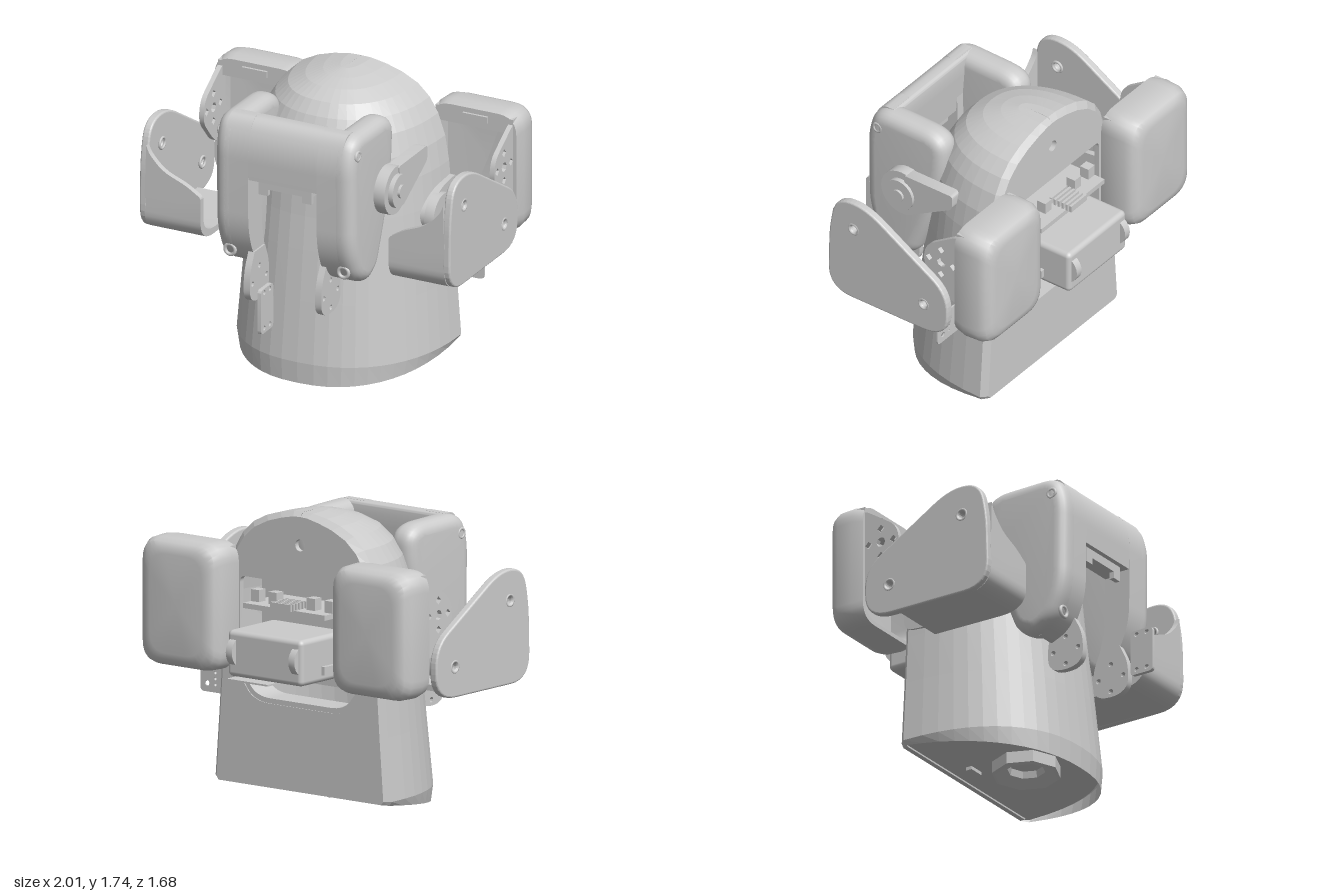
import * as THREE from 'three';
import { toCreasedNormals } from 'three/addons/utils/BufferGeometryUtils.js';
import { RoundedBoxGeometry } from 'three/addons/geometries/RoundedBoxGeometry.js';

const smooth = new THREE.MeshStandardMaterial({ color: 0xcccccc, side: THREE.DoubleSide });
const flat = new THREE.MeshStandardMaterial({ color: 0xcccccc, side: THREE.DoubleSide, flatShading: true });

// Closed outline through [u, v, cornerRadius] points, each corner rounded
function outline(pts, Type = THREE.Shape) {
  const s = new Type(), n = pts.length, V = pts.map(p => new THREE.Vector2(p[0], p[1]));
  V.forEach((p, i) => {
    const a = V[(i + n - 1) % n], b = V[(i + 1) % n], r = pts[i][2] || 0;
    const near = q => q.clone().sub(p).setLength(Math.min(r, q.distanceTo(p) * 0.49)).add(p);
    const from = near(a), to = near(b);
    if (i) s.lineTo(from.x, from.y); else s.moveTo(from.x, from.y);
    if (r) s.quadraticCurveTo(p.x, p.y, to.x, to.y);
  });
  s.closePath();
  return s;
}

const rect = (u0, v0, u1, v1, r) => outline([[u0, v0, r], [u1, v0, r], [u1, v1, r], [u0, v1, r]]);

function circleHole(u, v, r, sides = 16) {
  const p = new THREE.Path();
  for (let i = 0; i <= sides; i++) {
    const t = i / sides * Math.PI * 2;
    p[i ? 'lineTo' : 'moveTo'](u + r * Math.cos(t), v + r * Math.sin(t));
  }
  return p;
}

function extrude(shape, depth, bevel = 0) {
  const g = new THREE.ExtrudeGeometry(shape, {
    depth: depth - 2 * bevel, bevelEnabled: bevel > 0, bevelSize: bevel, bevelThickness: bevel,
    bevelOffset: -bevel, bevelSegments: 5, curveSegments: 8,
  });
  return toCreasedNormals(g.translate(0, 0, bevel), 0.6);
}

// Slab with its outline in (z, y), running from x0 to x1
const sideSlab = (shape, x0, x1, bevel) =>
  extrude(shape, Math.abs(x1 - x0), bevel).rotateY(-Math.PI / 2).translate(Math.max(x0, x1), 0, 0);
// Slab with its outline in (x, y), running from z0 to z1
const frontSlab = (shape, z0, z1, bevel) => extrude(shape, z1 - z0, bevel).translate(0, 0, z0);

// Surface through rows of points
function loft(rows, closed = false) {
  const n = rows[0].length, idx = [];
  for (let j = 0; j < rows.length - 1; j++)
    for (let i = 0; i < (closed ? n : n - 1); i++) {
      const a = j * n + i, b = j * n + (i + 1) % n;
      idx.push(a, b, b + n, a, b + n, a + n);
    }
  const g = new THREE.BufferGeometry().setFromPoints(rows.flat());
  g.setIndex(idx);
  g.computeVertexNormals();
  return g;
}

export function createModel() {
  const root = new THREE.Group();
  const add = (name, geo, mat = smooth) => {
    const m = new THREE.Mesh(geo, mat);
    m.name = name;
    root.add(m);
  };
  const box = (name, x0, x1, y0, y1, z0, z1) => add(name,
    new THREE.BoxGeometry(x1 - x0, y1 - y0, z1 - z0).translate((x0 + x1) / 2, (y0 + y1) / 2, (z0 + z1) / 2));
  const discX = (name, x, y, z, r, w, sides = 24) => add(name,
    toCreasedNormals(new THREE.CylinderGeometry(r, r, w, sides).rotateZ(Math.PI / 2).translate(x, y, z), 0.6));

  // Torso: D-shaped sections [y, half width, front z] closing into a dome
  const back = -0.475, sections = [
    [0, 0.63, 0.345], [0.13, 0.648, 0.35], [0.5, 0.62, 0.31], [0.8, 0.6, 0.275], [1.0, 0.588, 0.25],
    [1.2, 0.57, 0.23], [1.35, 0.545, 0.2], [1.48, 0.5, 0.16], [1.57, 0.445, 0.11], [1.64, 0.37, 0.05],
    [1.69, 0.27, -0.04], [1.72, 0.17, -0.14], [1.738, 0.07, -0.24], [1.74, 0.001, -0.32]];
  // Rounded rear edge: how far the back wall is inset from the side
  const inset = a => Math.min(0.035, a * 0.3);
  const rearY = y => y - 0.025 * THREE.MathUtils.smoothstep(y, 1.3, 1.7);
  const section = ([y, a, f]) => {
    const height = z => y || 0.11 - 0.11 * (z - back) / 0.82;
    const zs = back + 0.035, rear = s => new THREE.Vector3(s * (a - inset(a)), rearY(height(back)), back);
    const arc = Array.from({ length: 27 }, (_, i) => {
      const t = i / 26 * Math.PI, c = Math.cos(t), e = 2 / 2.3;
      const z = zs + (f - zs) * Math.max(0, Math.sin(t)) ** e;
      return new THREE.Vector3(a * Math.sign(c) * Math.abs(c) ** e, height(z), z);
    });
    return [rear(1), ...arc, rear(-1)];
  };
  add('torsoShell', loft(sections.map(section)), flat);

  // Flat back wall with its opening and a cable hole
  const edge = sections.map(([y, a]) => [a - inset(a), rearY(y || 0.11)]);
  const wall = outline([...edge, ...edge.slice(0, -1).reverse().map(([x, y]) => [-x, y])]);
  wall.holes.push(
    outline([[-0.44, 0.74, 0.05], [-0.34, 0.6, 0.12], [0.34, 0.6, 0.12], [0.44, 0.74, 0.05],
      [0.44, 1.32, 0.04], [-0.44, 1.32, 0.04]], THREE.Path),
    circleHole(0, 1.55, 0.035));
  add('torsoBack', frontSlab(wall, back, back + 0.03));
  add('openingLip', frontSlab(outline([[-0.44, 0.74, 0.05], [-0.34, 0.6, 0.12], [0.34, 0.6, 0.12], [0.44, 0.74, 0.05],
    [0.41, 0.74, 0.04], [0.32, 0.63, 0.1], [-0.32, 0.63, 0.1], [-0.41, 0.74, 0.04]]), -0.47, -0.3));

  // Recessed floor and octagonal waist socket underneath
  const floor = new THREE.Shape(section([0, 0.632, 0.335]).map(p => new THREE.Vector2(p.x, p.z)));
  add('torsoFloor', extrude(floor, 0.02).rotateX(Math.PI / 2).translate(0, 0.14, 0));
  const socket = [[0.001, 0.12], [0.1, 0.12], [0.11, 0.08], [0.18, 0.04], [0.2, 0.05], [0.2, 0.14]].map(p => new THREE.Vector2(...p));
  add('waistSocket', new THREE.LatheGeometry(socket, 8).translate(0, 0, -0.03), flat);
  box('floorPeg', -0.16, -0.06, 0.1, 0.14, -0.34, -0.3);

  // Chest guard: front bar between two side cheeks
  const barProfile = outline([[0.38, 1.29], [0.53, 1.29], [0.535, 1.5, 0.1], [0.47, 1.65, 0.1], [0.36, 1.65, 0.03], [0.36, 1.55, 0.03]]);
  add('chestBar', sideSlab(barProfile, -0.375, 0.375));
  box('chestHinge', -0.17, 0.17, 1.24, 1.29, 0.4, 0.5);
  const cheek = outline([[0.47, 1.65, 0.1], [0.535, 1.5, 0.1], [0.53, 0.95, 0.12], [0.44, 0.75, 0.08],
    [0.3, 0.69, 0.05], [0.18, 0.75, 0.06], [0.06, 1.05, 0.15], [-0.02, 1.4, 0.1], [-0.02, 1.64, 0.16]]);
  const strip = outline([[0.38, 1.65], [0.47, 1.65, 0.1], [0.535, 1.5, 0.1], [0.53, 0.95, 0.12],
    [0.44, 0.75, 0.08], [0.3, 0.69, 0.03], [0.36, 0.95, 0.05]]);

  for (const s of [1, -1]) {
    add('chestCheek', sideSlab(cheek, s * 0.275, s * 0.447, 0.07));
    add('chestStrip', sideSlab(strip, s * 0.22, s * 0.375));
    add('chestScrew', new THREE.TorusGeometry(0.032, 0.011, 8, 20).translate(s * 0.365, 0.81, 0.475));
    add('cheekScrew', new THREE.TorusGeometry(0.026, 0.01, 8, 20).rotateY(Math.PI / 2).translate(s * 0.44, 1.535, 0.445));
    box('hingeEar', s * 0.14 - 0.03, s * 0.14 + 0.03, 1.2, 1.26, 0.47, 0.5);

    // Drilled tab hanging below the chest guard
    const tab = outline([[0.34, 0.82], [0.29, 0.7, 0.06], [0.29, 0.51, 0.15], [0.53, 0.51, 0.15], [0.53, 0.7, 0.08], [0.47, 0.82]]);
    for (let k = 0; k < 4; k++)
      tab.holes.push(circleHole(0.41 + 0.085 * Math.cos(k * Math.PI / 2), 0.63 + 0.085 * Math.sin(k * Math.PI / 2), 0.016, 10));
    add('chestTab', sideSlab(tab, s * 0.21, s * 0.25));

    // Shoulder guard: outer plate, curved tray and sloping gusset
    const plate = outline([[0.385, 0.76, 0.17], [0.375, 1.2, 0.1], [0.33, 1.42, 0.14], [0.12, 1.44, 0.14],
      [-0.47, 1.08, 0.13], [-0.47, 0.76, 0.18]]);
    plate.holes.push(circleHole(0.2, 1.25, 0.022), circleHole(-0.3, 0.94, 0.022));
    add('shoulderPlate', sideSlab(plate, s * 0.95, s, 0.012), flat);
    for (const [z, y] of [[0.2, 1.25], [-0.3, 0.94]])
      for (const x of [0.945, 0.995])
        add('plateBoss', new THREE.TorusGeometry(0.033, 0.008, 8, 20).rotateY(Math.PI / 2).translate(s * x, y, z));
    add('shoulderTray', sideSlab(outline([[0.38, 1.03], [0.38, 0.76, 0.17], [-0.25, 0.765], [-0.25, 0.8],
      [0.345, 0.8, 0.15], [0.345, 1.03]]), s * 0.605, s * 0.965));
    add('shoulderGusset', frontSlab(outline([[s * 0.605, 1.0], [s * 0.605, 1.04, 0.02], [s * 0.7, 1.1, 0.04], [s * 0.85, 1.16, 0.06],
      [s * 0.935, 1.25, 0.04], [s * 0.955, 1.3], [s * 0.965, 1.0]]), 0.345, 0.38));

    // Hollow rear pad, lofted outside, round the rim and inside
    const ring = ([z, w, h]) => outline([[-w, -h, 0.12], [w, -h, 0.12], [w, h, 0.12], [-w, h, 0.12]])
      .getPoints(6).slice(0, -1).map(p => new THREE.Vector3(s * 0.7 + p.x, 1.155 + p.y, z));
    const pad = [[-0.742, 0.001, 0.001], [-0.742, 0.19, 0.29], [-0.735, 0.23, 0.325], [-0.715, 0.262, 0.355], [-0.67, 0.28, 0.372],
      [-0.57, 0.285, 0.375], [-0.5, 0.272, 0.365], [-0.5, 0.25, 0.34], [-0.66, 0.25, 0.34], [-0.68, 0.001, 0.001]];
    add('rearPad', toCreasedNormals(loft(pad.map(ring), true), 0.7));
    box('padBeam', s * 0.7 - 0.25, s * 0.7 + 0.25, 1.41, 1.5, -0.6, -0.5);
    box('padSlot', s * 0.71 - 0.08, s * 0.71 + 0.08, 1.45, 1.49, -0.51, -0.485);

    // Drilled bracket reaching forward from the pad
    const bracket = outline([[-0.54, 1.48], [-0.48, 1.46, 0.02], [-0.28, 1.33, 0.06], [-0.26, 1.2, 0.06], [-0.4, 1.04, 0.05], [-0.54, 0.98]]);
    bracket.holes.push(circleHole(-0.39, 1.25, 0.03, 8));
    for (let k = 0; k < 4; k++)
      bracket.holes.push(circleHole(-0.39 + 0.085 * Math.cos(k * Math.PI / 2), 1.25 + 0.085 * Math.sin(k * Math.PI / 2), 0.024, 4));
    add('padBracket', sideSlab(bracket, s * 0.92, s * 0.95));

    // Shoulder joint on the torso side
    const link = outline([[-0.46, 0.84, 0.06], [-0.18, 0.82, 0.1], [-0.1, 0.98, 0.1], [-0.25, 1.1, 0.08], [-0.46, 1.12, 0.04]]);
    add('jointLink', sideSlab(link, s * 0.54, s * 0.61));
    discX('jointHub', s * 0.61, 0.95, -0.24, 0.13, 0.06);

    // Motor wheel
    discX('motorWheel', s * 0.23, 0.95, -0.745, 0.092, 0.045);
  }

  // Shoulder motor horn, on the left side only
  discX('hornDisc', 0.52, 1.25, 0.19, 0.145, 0.07, 28);
  discX('hornFace', 0.56, 1.25, 0.19, 0.1, 0.05);
  discX('hornCap', 0.58, 1.25, 0.19, 0.04, 0.04);
  add('hornArm', sideSlab(outline([[0.17, 1.39, 0.02], [0.12, 1.13, 0.02], [-0.18, 1.3, 0.03], [-0.18, 1.39, 0.02]]), 0.49, 0.565));

  // Motor and shelf in the back opening
  add('motorBody', new RoundedBoxGeometry(0.55, 0.27, 0.42, 3, 0.03).translate(0, 0.94, -0.59));
  box('motorMount', -0.3, 0.3, 0.85, 0.9, -0.62, -0.3);
  box('shelf', -0.3, 0.3, 1.17, 1.2, -0.62, -0.28);
  box('innerWall', -0.46, 0.46, 0.7, 1.36, -0.25, -0.22);
  for (let i = 0; i < 6; i++) box('cableRib', -0.08, 0.07, 1.2, 1.24, -0.66 + i * 0.028, -0.645 + i * 0.028);
  for (const x of [-0.27, -0.14, 0.14, 0.27]) box('shelfPost', x - 0.03, x + 0.03, 1.2, 1.27, -0.55, -0.49);
  box('rearSheet', 0.1, 0.4, 0.74, 0.75, -0.645, -0.4);

  // Perforated plate beside the torso
  const perf = rect(0.58, 0.57, 0.87, 0.76, 0.03);
  for (let i = 0; i < 3; i++)
    for (let j = 0; j < 4; j++) perf.holes.push(circleHole(0.64 + i * 0.06, 0.615 + j * 0.035, 0.008, 8));
  perf.holes.push(circleHole(0.82, 0.62, 0.016));
  add('perforatedPlate', frontSlab(perf, -0.305, -0.295));

  // Loose drilled plate in front
  const loose = rect(0.69, 0.49, 0.84, 0.765, 0.025);
  for (const z of [0.73, 0.8]) for (const y of [0.52, 0.74]) loose.holes.push(circleHole(z, y, 0.015, 10));
  add('frontPlate', sideSlab(loose, 0, 0.024));

  return root;
}
